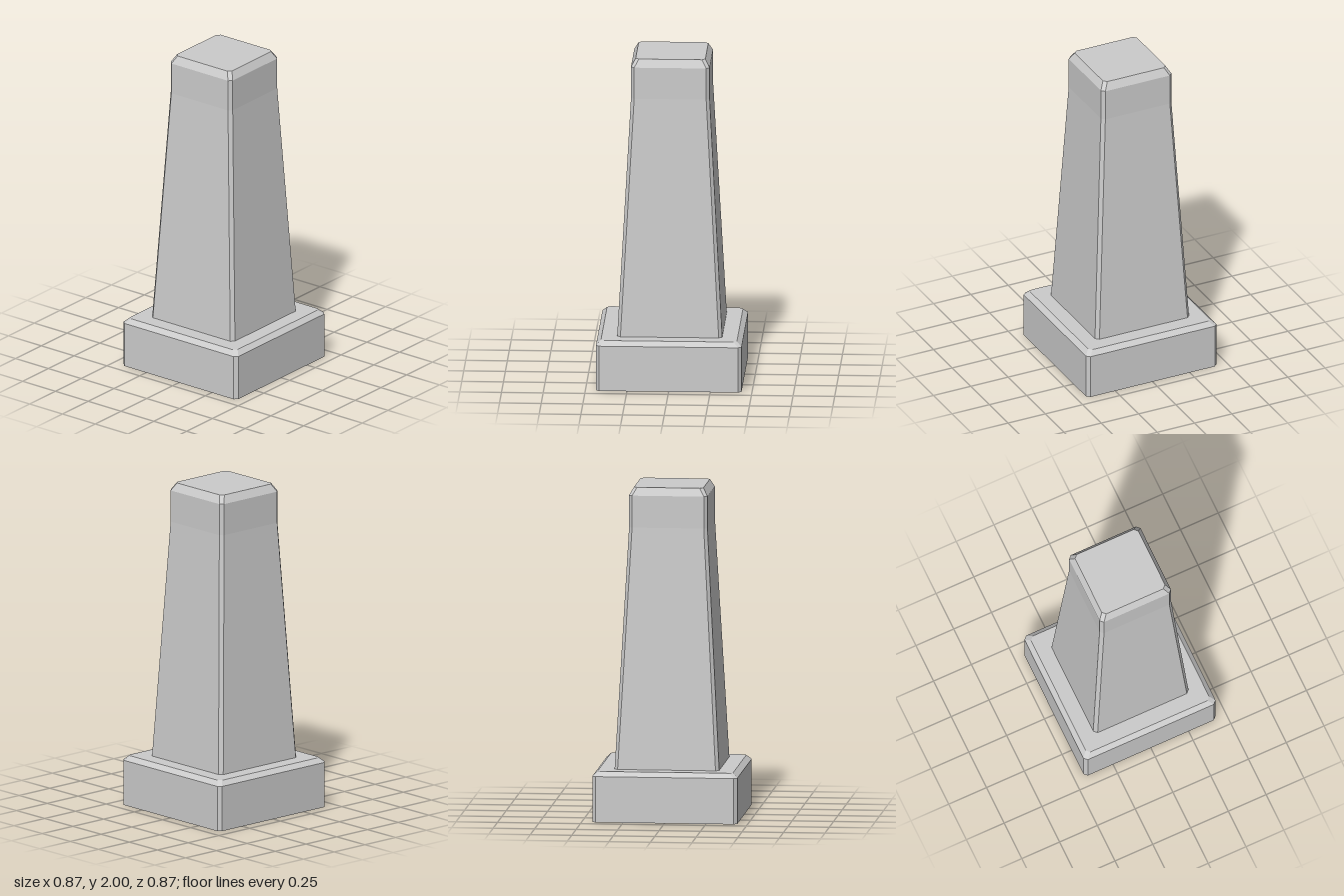
import * as THREE from 'three';

const material = new THREE.MeshStandardMaterial({
  color: 0xcccccc, flatShading: true, side: THREE.DoubleSide,
});

// Square outline with cut corners, anticlockwise seen from above
function ring([y, half, cut]) {
  const a = half, b = half - cut;
  return [[a, b], [a, -b], [b, -a], [-b, -a], [-a, -b], [-a, b], [-b, a], [b, a]]
    .map(([x, z]) => [x, y, z]);
}

// Shell skinned through [y, half width, corner cut] sections, open at the bottom
function shell(name, sections, capped) {
  const rings = sections.map(ring);
  const points = [];
  for (let r = 0; r < rings.length - 1; r++) {
    const low = rings[r], high = rings[r + 1];
    for (let i = 0; i < 8; i++) {
      const j = (i + 1) % 8;
      points.push(low[i], low[j], high[j], low[i], high[j], high[i]);
    }
  }
  if (capped) {
    const top = rings[rings.length - 1];
    for (let i = 1; i < 7; i++) points.push(top[0], top[i], top[i + 1]);
  }
  const geometry = new THREE.BufferGeometry();
  geometry.setAttribute('position', new THREE.Float32BufferAttribute(points.flat(), 3));
  geometry.computeVertexNormals();
  const mesh = new THREE.Mesh(geometry, material);
  mesh.name = name;
  return mesh;
}

export function createModel() {
  const group = new THREE.Group();
  group.name = 'stonePost';

  // Hollow plinth: walls, bevel and the ledge running in to the shaft
  group.add(shell('plinth', [
    [0, 0.437, 0.02], [0.277, 0.437, 0.02], [0.305, 0.408, 0.02], [0.305, 0.315, 0.02],
  ], false));

  // Hollow tapered shaft with a straight head and bevelled top
  group.add(shell('shaft', [
    [0.305, 0.315, 0.02], [1.76, 0.236, 0.02], [1.953, 0.236, 0.02], [2, 0.209, 0.02],
  ], true));

  return group;
}
